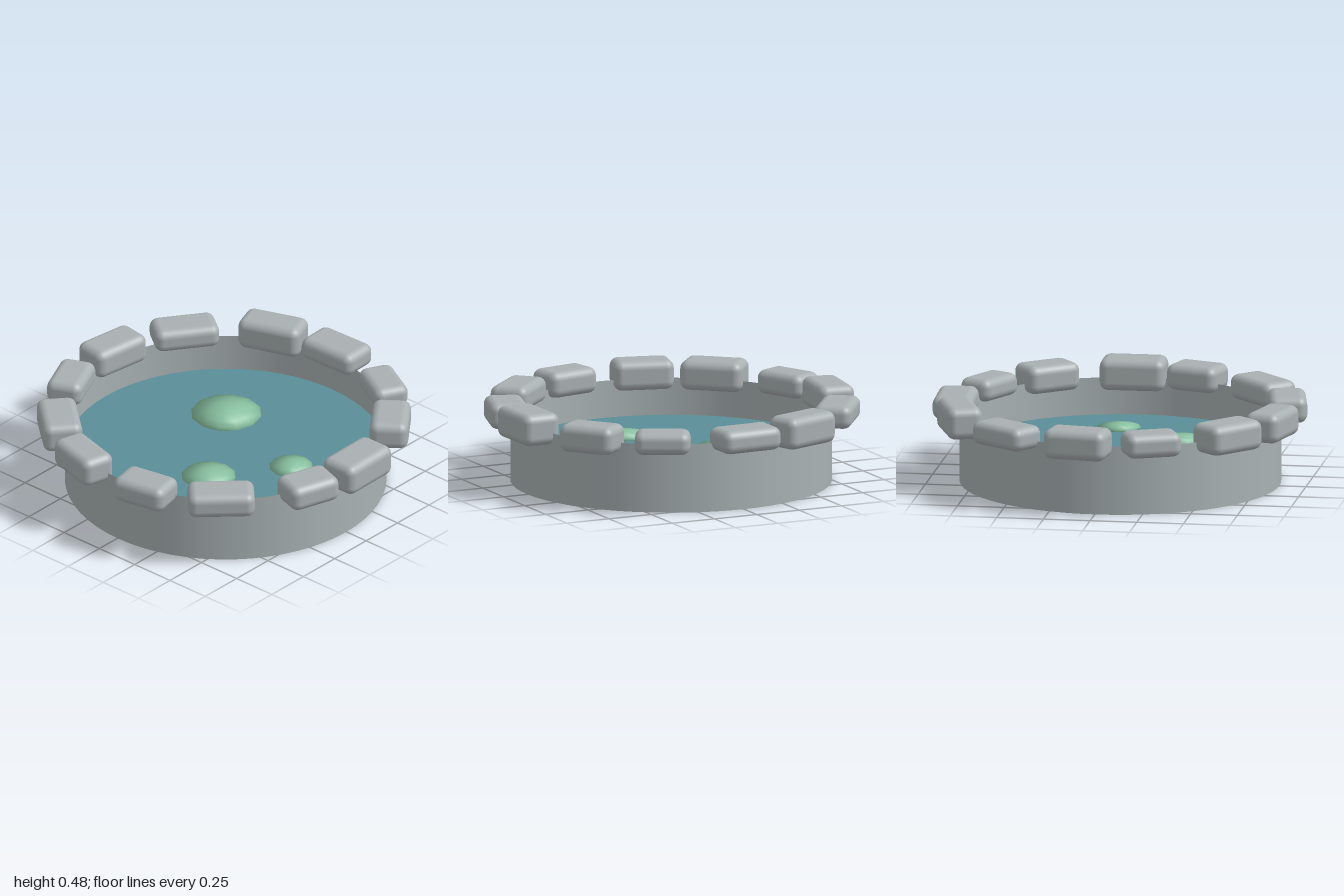
import * as THREE from 'three';
import { RoundedBoxGeometry } from 'three/addons/geometries/RoundedBoxGeometry.js';

const mat = (name, color, side = THREE.FrontSide) => {
  const m = new THREE.MeshStandardMaterial({ color, side });
  m.name = name;
  return m;
};

export function createModel() {
  const pond = new THREE.Group();
  pond.name = 'pond';
  const wallGrey = mat('wallGrey', 0xa8b1b3, THREE.DoubleSide);
  const stoneGrey = mat('stoneGrey', 0xa9b0b2);
  const waterTeal = mat('waterTeal', 0x5a8f99, THREE.DoubleSide);
  const padGreen = mat('padGreen', 0x88c0a0);

  const add = (name, geometry, material, x, y, z) => {
    const mesh = new THREE.Mesh(geometry, material);
    mesh.name = name;
    mesh.position.set(x, y, z);
    pond.add(mesh);
    return mesh;
  };

  // Thin open ring wall and the water surface inside it
  add('basinWall', new THREE.CylinderGeometry(0.852, 0.852, 0.37, 64, 1, true), wallGrey, -0.005, 0.185, 0.008);
  const water = add('water', new THREE.CircleGeometry(0.849, 64), waterTeal, -0.005, 0.17, 0.008);
  water.rotation.x = -Math.PI / 2;

  // Rim stones: x, z, length, height, width, turn in degrees
  const stones = [
    [0.06, 0.885, 0.35, 0.17, 0.215, 1],
    [0.5, 0.726, 0.31, 0.15, 0.205, 38],
    [0.766, 0.44, 0.295, 0.12, 0.19, 62],
    [0.878, 0.008, 0.345, 0.125, 0.215, 92],
    [0.798, -0.37, 0.35, 0.17, 0.19, -70],
    [0.49, -0.726, 0.35, 0.125, 0.205, -36],
    [0.085, -0.875, 0.34, 0.16, 0.2, -8],
    [-0.298, -0.827, 0.3, 0.13, 0.195, 24],
    [-0.67, -0.577, 0.34, 0.16, 0.21, 49],
    [-0.857, -0.24, 0.325, 0.16, 0.19, 75],
    [-0.867, 0.21, 0.305, 0.14, 0.205, -79],
    [-0.68, 0.577, 0.355, 0.135, 0.21, -46],
    [-0.287, 0.843, 0.29, 0.14, 0.21, -18],
  ];
  for (const [x, z, length, height, width, turn] of stones) {
    const stone = add('rimStone', new RoundedBoxGeometry(length, height, width, 3, 0.045), stoneGrey, x, 0.391, z);
    stone.rotation.y = THREE.MathUtils.degToRad(turn);
  }

  // Lily pads: flattened spheres that keep their round normals
  for (const [x, z, radius] of [[0.25, -0.215, 0.19], [-0.3, 0.15, 0.146], [0.065, 0.41, 0.117]]) {
    const geometry = new THREE.SphereGeometry(radius, 12, 8);
    const p = geometry.attributes.position;
    for (let i = 0; i < p.count; i++) p.setY(i, p.getY(i) * 0.15);
    add('lilyPad', geometry, padGreen, x, 0.2, z);
  }
  return pond;
}
